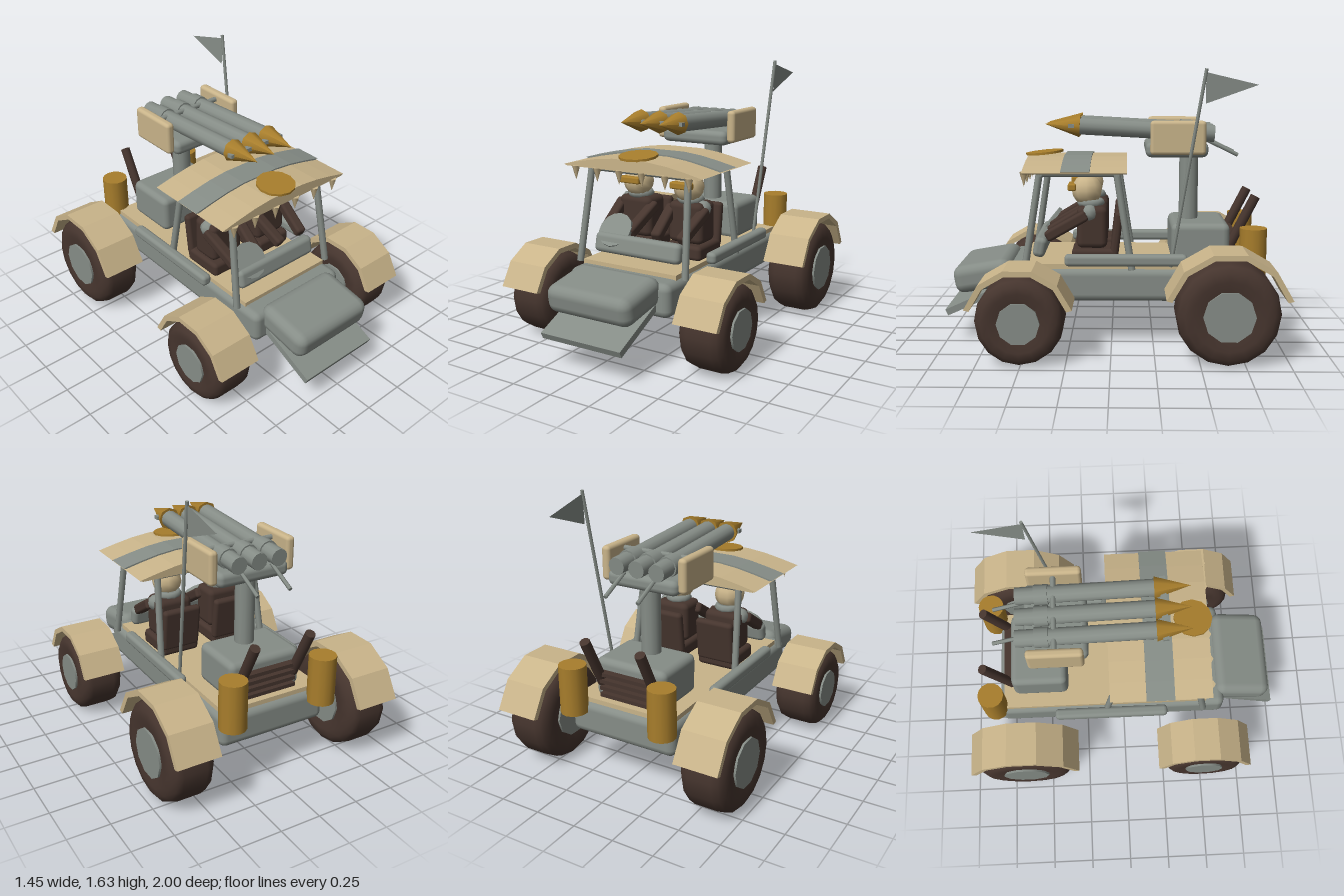
import * as THREE from 'three';
import { RoundedBoxGeometry } from 'three/addons/geometries/RoundedBoxGeometry.js';

const mat = (name, color, extra = {}) => {
  const m = new THREE.MeshStandardMaterial({ color, ...extra });
  m.name = name;
  return m;
};

export function createModel() {
  const root = new THREE.Group();
  root.name = 'wastelandBuggy';
  const sand = mat('sand', 0xc9b48a);
  const steel = mat('steel', 0x868d87);
  const rubber = mat('darkBrown', 0x46352e);
  const brass = mat('brass', 0xa87e2c);
  const cloth = mat('steelCloth', 0x868d87, { side: THREE.DoubleSide });

  // Helpers
  const add = (name, geo, material, x = 0, y = 0, z = 0, rx = 0, parent = root) => {
    const m = new THREE.Mesh(geo, material);
    m.name = name;
    m.position.set(x, y, z);
    m.rotation.x = rx;
    parent.add(m);
    return m;
  };
  const rbox = (w, h, d, r) => new RoundedBoxGeometry(w, h, d, 2, r);
  const rod = (name, a, b, r, material, sides = 8, parent = root) => {
    const p = new THREE.Vector3(...a), q = new THREE.Vector3(...b);
    const dir = q.clone().sub(p);
    const m = add(name, new THREE.CylinderGeometry(r, r, dir.length(), sides), material, 0, 0, 0, 0, parent);
    m.position.copy(p).add(q).multiplyScalar(0.5);
    m.quaternion.setFromUnitVectors(new THREE.Vector3(0, 1, 0), dir.normalize());
    return m;
  };
  const V = (x, y) => new THREE.Vector2(x, y);

  // Chassis, deck, nose and ram plate
  add('chassis', rbox(0.69, 0.2, 1.45, 0.045), steel, 0, 0.37, -0.075);
  add('deck', new THREE.BoxGeometry(0.64, 0.035, 1.3), sand, 0, 0.477, -0.12);
  add('nose', rbox(0.56, 0.17, 0.36, 0.06), steel, 0, 0.4, 0.77, 0.17);
  add('ramPlate', new THREE.BoxGeometry(0.53, 0.04, 0.4), steel, 0, 0.262, 0.81, 0.42);
  add('dashboard', rbox(0.59, 0.12, 0.075, 0.03), steel, 0, 0.585, 0.425, -0.2);

  // Wheels and angular fenders
  const fenderArc = (r, t) => {
    const pts = [];
    for (let i = 0; i <= 5; i++) {
      const a = (15 + 30 * i) * Math.PI / 180;
      pts.push(V(Math.cos(a) * r, Math.sin(a) * r));
    }
    for (let i = 5; i >= 0; i--) {
      const a = (15 + 30 * i) * Math.PI / 180;
      pts.push(V(Math.cos(a) * (r - t), Math.sin(a) * (r - t)));
    }
    return new THREE.Shape(pts);
  };
  for (const s of [-1, 1]) {
    for (const [label, z, r, hub, arch] of [['front', 0.505, 0.25, 0.12, 0.307], ['rear', -0.65, 0.293, 0.145, 0.357]]) {
      const tyre = new THREE.LatheGeometry([
        V(hub * 0.9, -0.125), V(r * 0.68, -0.138), V(r * 0.84, -0.132), V(r * 0.96, -0.108), V(r, -0.07),
        V(r, 0.07), V(r * 0.96, 0.108), V(r * 0.84, 0.132), V(r * 0.68, 0.138), V(hub * 0.9, 0.125),
      ], 16);
      tyre.rotateZ(Math.PI / 2);
      add(label + 'Tyre', tyre, rubber, s * 0.585, r, z);
      const cap = new THREE.CylinderGeometry(hub, hub, 0.28, 10);
      cap.rotateZ(Math.PI / 2);
      add(label + 'Hub', cap, steel, s * 0.585, r, z);
      const fender = new THREE.ExtrudeGeometry(fenderArc(arch, 0.032), { depth: 0.265, bevelEnabled: false });
      fender.translate(0, 0, -0.1325);
      fender.rotateY(Math.PI / 2);
      add(label + 'Fender', fender, sand, s * 0.593, r, z);
    }
    // Side rail
    add('sideRail', rbox(0.065, 0.07, 0.71, 0.024), steel, s * 0.39, 0.535, -0.085);
    // Roof pillars and upper rail
    rod('frontPillar', [s * 0.365, 0.47, 0.505], [s * 0.33, 1.04, 0.415], 0.021, steel);
    rod('rearPillar', [s * 0.36, 0.47, -0.12], [s * 0.33, 1.04, -0.03], 0.021, steel);
    rod('roofRail', [s * 0.33, 1.03, 0.425], [s * 0.33, 1.03, -0.04], 0.018, steel);
    // Fuel drum and exhaust
    add('fuelDrum', new THREE.CylinderGeometry(0.08, 0.08, 0.29, 14), brass, s * 0.296, 0.565, -0.83);
    rod('exhaust', [s * 0.18, 0.58, -0.705], [s * 0.18, 0.88, -0.855], 0.03, rubber, 10);
  }
  for (const z of [0.415, -0.03]) rod('roofCrossbar', [-0.35, 1.03, z], [0.35, 1.03, z], 0.018, steel);

  // Domed roof with a stripe, a front shield and hanging spikes
  const dome = [[0.47, 1.05], [0.36, 1.075], [0.24, 1.098], [0.12, 1.111]];
  const roofShape = (grow, lift, floor) => new THREE.Shape([
    V(-0.45, floor), V(0.45, floor),
    ...dome.map(([x, y]) => V(x + grow, y + lift)),
    ...dome.map(([x, y]) => V(-x - grow, y + lift)).reverse(),
  ]);
  add('roof', new THREE.ExtrudeGeometry(roofShape(0, 0, 1.042), { depth: 0.595, bevelEnabled: false }), sand, 0, 0, -0.09);
  add('roofStripe', new THREE.ExtrudeGeometry(roofShape(0.006, 0.008, 1.05), { depth: 0.165, bevelEnabled: false }), steel, 0, 0, 0.12);
  add('roofShield', new THREE.CylinderGeometry(0.115, 0.115, 0.014, 12), brass, 0, 1.125, 0.415, 0.1);
  for (let i = 0; i < 6; i++) {
    const spike = new THREE.ConeGeometry(0.025, 0.085, 6);
    spike.rotateX(Math.PI);
    add('roofSpike', spike, sand, -0.385 + i * 0.154, 1.005, 0.5);
  }

  // Seats and crew
  for (const s of [-1, 1]) {
    const crew = new THREE.Group();
    crew.name = 'crewAndSeat';
    crew.position.x = s * 0.178;
    root.add(crew);
    add('seatBase', rbox(0.25, 0.09, 0.27, 0.025), rubber, 0, 0.535, 0.1, 0, crew);
    add('seatBack', rbox(0.25, 0.27, 0.05, 0.022), rubber, 0, 0.665, -0.03, -0.12, crew);
    add('torso', rbox(0.23, 0.25, 0.18, 0.035), rubber, 0, 0.705, 0.115, 0, crew);
    const collar = new THREE.TorusGeometry(0.06, 0.024, 6, 12);
    collar.rotateX(Math.PI / 2);
    add('collar', collar, steel, 0, 0.842, 0.125, 0, crew);
    add('head', new THREE.SphereGeometry(0.093, 10, 8), sand, 0, 0.918, 0.148, 0, crew);
    add('goggles', rbox(0.14, 0.042, 0.05, 0.01), brass, 0, 0.938, 0.235, 0, crew);
    for (const k of [-1, 1]) {
      const dir = new THREE.Vector3(-k * 0.03, -0.14, 0.24);
      const arm = add('arm', rbox(0.065, 0.065, dir.length(), 0.018), rubber, k * 0.1, 0.715, 0.265, 0, crew);
      arm.quaternion.setFromUnitVectors(new THREE.Vector3(0, 0, 1), dir.normalize());
    }
    add('shoulderPad', new THREE.SphereGeometry(0.05, 8, 6), steel, s * 0.088, 0.79, 0.13, 0, crew);
  }
  add('steeringWheel', new THREE.CylinderGeometry(0.11, 0.11, 0.02, 14), steel, -0.178, 0.66, 0.4, 0.9);

  // Engine block and rear grille
  add('engine', rbox(0.47, 0.24, 0.35, 0.04), steel, 0, 0.6, -0.53);
  for (let i = 0; i < 4; i++) add('grilleBar', new THREE.BoxGeometry(0.34, 0.022, 0.06), rubber, 0, 0.52 + i * 0.042, -0.72);

  // Launcher mount
  add('launcherPost', new THREE.CylinderGeometry(0.058, 0.058, 0.44, 12), steel, 0, 0.92, -0.47);
  add('launcherBase', rbox(0.46, 0.09, 0.37, 0.035), steel, 0, 1.158, -0.385);
  for (const s of [-1, 1]) {
    add('launcherSidePlate', rbox(0.055, 0.2, 0.325, 0.022), sand, s * 0.25, 1.232, -0.388);
    rod('launcherHandle', [s * 0.105, 1.21, -0.57], [s * 0.105, 1.12, -0.755], 0.012, steel, 6);
  }
  rod('launcherAxle', [-0.23, 1.29, -0.39], [0.23, 1.29, -0.39], 0.016, steel);

  // Three rockets with collars and pointed tips, slightly raised
  for (const x of [-0.13, 0, 0.13]) {
    const rocket = new THREE.Group();
    rocket.name = 'rocket';
    rocket.position.set(x, 1.272, -0.21);
    rocket.rotation.x = Math.PI / 2 - 0.055;
    root.add(rocket);
    add('rocketTube', new THREE.CylinderGeometry(0.051, 0.051, 0.8, 12), steel, 0, 0, 0, 0, rocket);
    add('rocketCollar', new THREE.CylinderGeometry(0.06, 0.06, 0.08, 12), steel, 0, -0.25, 0, 0, rocket);
    add('rocketTip', new THREE.ConeGeometry(0.068, 0.21, 8), brass, 0, 0.505, 0, 0, rocket);
    add('rocketPin', new THREE.BoxGeometry(0.13, 0.035, 0.022), steel, 0, 0.45, 0, 0, rocket);
  }

  // Leaning flagpole with a pennant
  rod('flagPole', [0.36, 0.49, -0.345], [0.403, 1.63, -0.532], 0.01, steel, 6);
  const flag = new THREE.BufferGeometry();
  flag.setAttribute('position', new THREE.Float32BufferAttribute(
    [0.402, 1.61, -0.53, 0.396, 1.435, -0.53, 0.4, 1.54, -0.825], 3));
  flag.computeVertexNormals();
  add('pennant', flag, cloth);

  return root;
}
